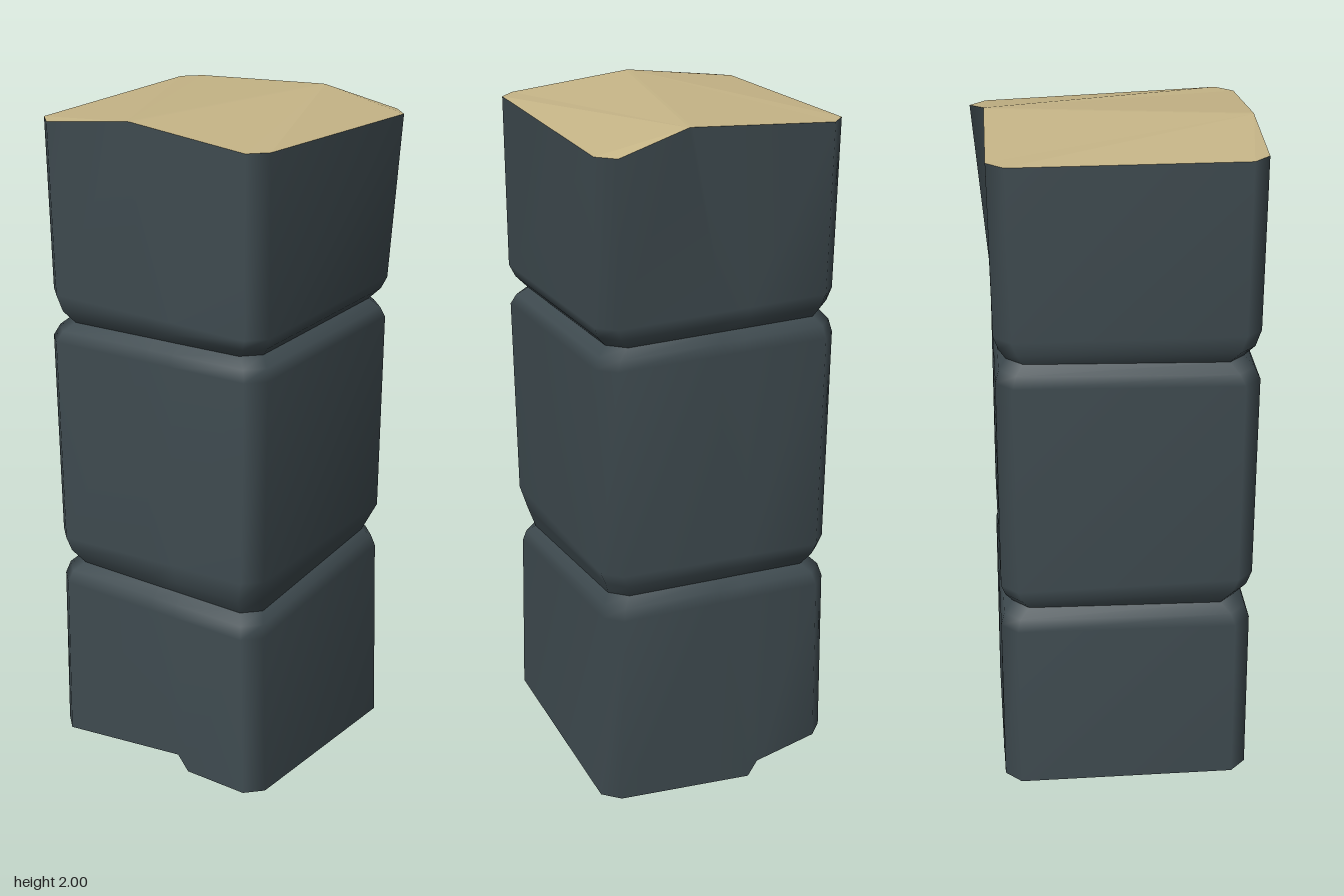
import * as THREE from 'three';

const shell = new THREE.MeshStandardMaterial({ color: 0x3f4b50 });
shell.name = 'dark slate';
const core = new THREE.MeshStandardMaterial({ color: 0xc6b587 });
core.name = 'tan stone';

const CHAMFER = 0.046;

// Four corners [x, y, z] (front left of view, front right, back right, back left)
// become a 12-point chamfered outline, counterclockwise from above.
// mids: two points on the front edge, two on the back edge; each [x, y?, z?].
function ring(corners, mids = [[-0.01], [0.07], [0.0], [-0.08]], c = CHAMFER) {
  const [fl, fr, br, bl] = corners;
  const on = (a, b, [x, y, z]) => {
    const t = (x - a[0]) / (b[0] - a[0]);
    return [x, y ?? a[1] + (b[1] - a[1]) * t, z ?? a[2] + (b[2] - a[2]) * t];
  };
  const off = (p, dx, dz) => [p[0] + dx, p[1], p[2] + dz];
  return [
    off(fl, c, 0), on(fl, fr, mids[0]), on(fl, fr, mids[1]), off(fr, -c, 0),
    off(fr, 0, -c), off(br, 0, c), off(br, -c, 0),
    on(br, bl, mids[2]), on(br, bl, mids[3]), off(bl, c, 0),
    off(bl, 0, c), off(fl, 0, -c),
  ];
}

// Smooth skin through a stack of outlines, bottom to top
function block(name, rings) {
  const n = 12, index = [];
  for (let r = 0; r < rings.length - 1; r++) {
    for (let i = 0; i < n; i++) {
      const a = r * n + i, b = r * n + (i + 1) % n;
      index.push(a, b, b + n, a, b + n, a + n);
    }
  }
  const g = new THREE.BufferGeometry();
  g.setAttribute('position', new THREE.Float32BufferAttribute(rings.flat(2), 3));
  g.setIndex(index);
  g.computeVertexNormals();
  const mesh = new THREE.Mesh(g, shell);
  mesh.name = name;
  return mesh;
}

// Faceted end face: left part, narrow step, right part
function endCap(name, pts, down) {
  const pos = [];
  for (const poly of [[1, 8, 9, 10, 11, 0], [1, 2, 7, 8], [7, 2, 3, 4, 5, 6]]) {
    for (let i = 1; i < poly.length - 1; i++) {
      const tri = [poly[0], poly[i], poly[i + 1]];
      if (down) tri.reverse();
      tri.forEach((k) => pos.push(...pts[k]));
    }
  }
  const g = new THREE.BufferGeometry();
  g.setAttribute('position', new THREE.Float32BufferAttribute(pos, 3));
  g.computeVertexNormals();
  const mesh = new THREE.Mesh(g, core);
  mesh.name = name;
  return mesh;
}

export function createModel() {
  const group = new THREE.Group();
  group.name = 'stonePillar';

  // Broken ends
  const bottom = ring(
    [[-0.367, 0.085, 0.372], [0.355, 0.09, 0.372], [0.362, 0.043, -0.346], [-0.367, 0.085, -0.346]],
    [[0.08, 0.135], [0.115, 0.09], [-0.1, 0.0], [-0.13, 0.045]]);
  const top = ring(
    [[-0.367, 1.965, 0.375], [0.355, 1.967, 0.375], [0.365, 1.94, -0.378], [-0.367, 1.965, -0.348]],
    [[-0.055, 2.0], [-0.045, 2.0], [0.105, 1.99, -0.342], [0.095, 1.99, -0.342]]);

  // Grooves between the blocks
  const lowGroove = ring([[-0.325, 0.65, 0.33], [0.315, 0.65, 0.33], [0.315, 0.68, -0.31], [-0.325, 0.66, -0.31]]);
  const highGroove = ring([[-0.325, 1.4, 0.335], [0.312, 1.415, 0.335], [0.312, 1.415, -0.31], [-0.34, 1.42, -0.31]]);

  group.add(block('lowerBlock', [
    bottom,
    ring([[-0.36, 0.59, 0.37], [0.343, 0.59, 0.37], [0.345, 0.62, -0.342], [-0.36, 0.6, -0.345]]),
    ring([[-0.35, 0.625, 0.358], [0.335, 0.625, 0.358], [0.336, 0.655, -0.332], [-0.35, 0.635, -0.335]]),
    lowGroove,
  ]));

  group.add(block('middleBlock', [
    lowGroove,
    ring([[-0.35, 0.695, 0.36], [0.327, 0.7, 0.36], [0.33, 0.72, -0.33], [-0.35, 0.695, -0.33]]),
    ring([[-0.358, 0.74, 0.374], [0.346, 0.77, 0.374], [0.348, 0.76, -0.34], [-0.358, 0.73, -0.342]]),
    ring([[-0.365, 1.345, 0.374], [0.353, 1.36, 0.374], [0.353, 1.36, -0.336], [-0.367, 1.36, -0.34]]),
    ring([[-0.352, 1.375, 0.36], [0.34, 1.39, 0.36], [0.34, 1.39, -0.327], [-0.36, 1.395, -0.33]]),
    highGroove,
  ]));

  group.add(block('upperBlock', [
    highGroove,
    ring([[-0.348, 1.435, 0.36], [0.34, 1.445, 0.36], [0.34, 1.445, -0.328], [-0.352, 1.45, -0.328]]),
    ring([[-0.358, 1.485, 0.374], [0.354, 1.478, 0.374], [0.354, 1.478, -0.338], [-0.36, 1.49, -0.342]]),
    top,
  ]));

  group.add(endCap('topFace', top, false), endCap('bottomFace', bottom, true));
  return group;
}
